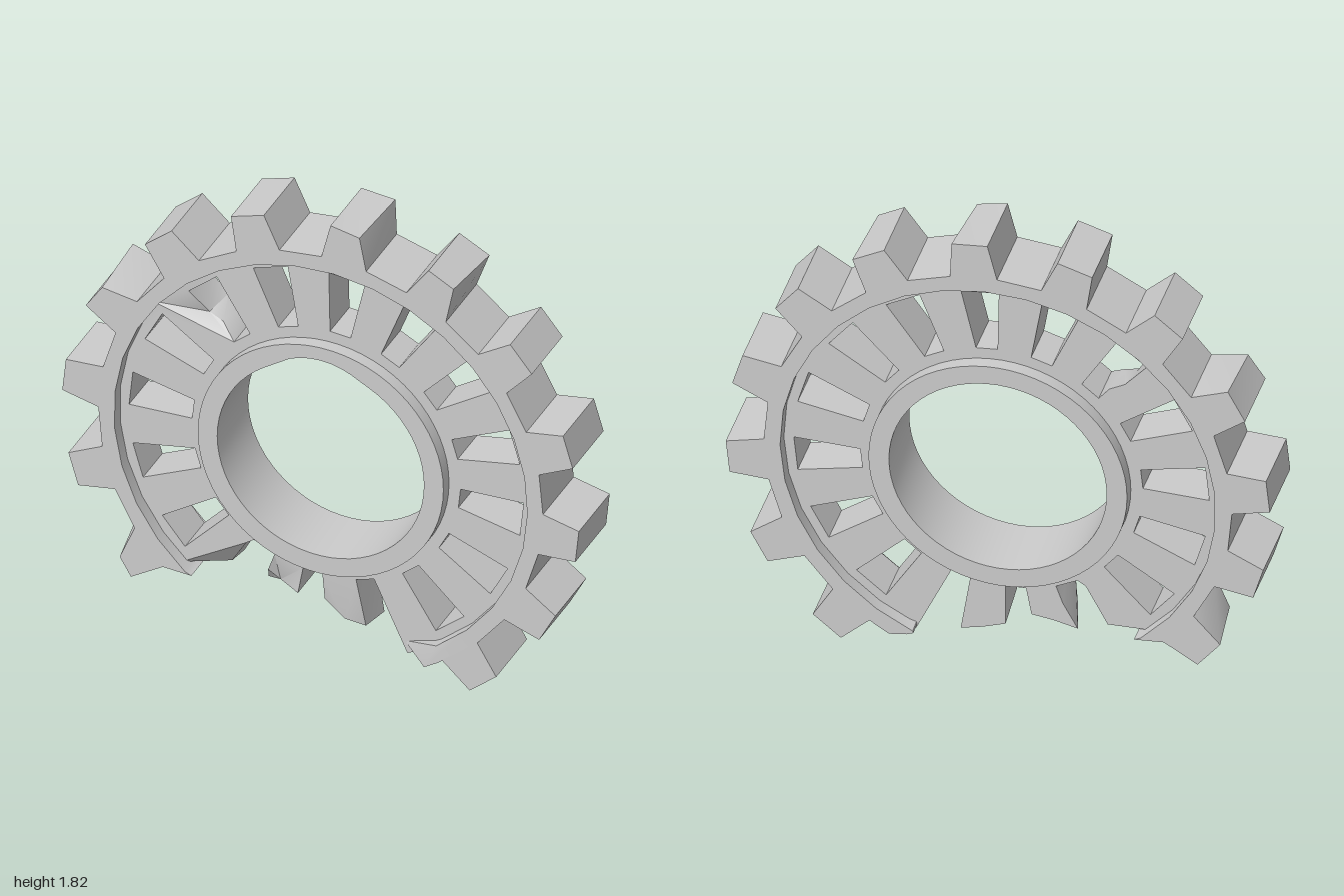
import * as THREE from 'three';
import { toCreasedNormals } from 'three/addons/utils/BufferGeometryUtils.js';

const CY = 0.815;            // height of the wheel axis
const DEPTH = 0.27;          // thickness of rim and hub
const WEB_DEPTH = 0.17;      // thickness of the recessed web
const STEP = 22.5;           // spacing of teeth and windows
const FIRST = -51;           // first surviving tooth, to the right of the break
const material = new THREE.MeshStandardMaterial({ color: 0xcccccc, side: THREE.DoubleSide });

// Point at radius r and angle a (degrees), shifted sideways by s
function polar(r, a, s = 0) {
  const t = THREE.MathUtils.degToRad(a);
  return new THREE.Vector2(r * Math.cos(t) - s * Math.sin(t), CY + r * Math.sin(t) + s * Math.cos(t));
}

function arc(r, from, to, n) {
  return Array.from({ length: n + 1 }, (_, i) => polar(r, from + (to - from) * i / n));
}

const points = (list) => list.map(([x, y]) => new THREE.Vector2(x, y));

// Extrude an outline centred on z = 0, wear its vertices by a rule, then smooth it
function plate(name, outline, holes, depth, wear) {
  const shape = new THREE.Shape(outline);
  shape.holes = holes.map((h) => new THREE.Path(h));
  const geo = new THREE.ExtrudeGeometry(shape, { depth, bevelEnabled: false, curveSegments: 1 });
  geo.translate(0, 0, -depth / 2);
  const pos = geo.attributes.position;
  const v = new THREE.Vector3();
  for (let i = 0; i < pos.count; i++) {
    wear(v.fromBufferAttribute(pos, i));
    pos.setXYZ(i, v.x, v.y, v.z);
  }
  geo.deleteAttribute('normal');
  const mesh = new THREE.Mesh(toCreasedNormals(geo, 0.5), material);
  mesh.name = name;
  return mesh;
}

// Move the front corners near given spots: [x, y, dx, dy, dz]
function chip(chips) {
  return (v) => {
    if (v.z < 0) return;
    const hit = chips.find(([x, y]) => Math.hypot(v.x - x, v.y - y) < 0.03);
    if (hit) v.add(new THREE.Vector3(hit[2], hit[3], hit[4]));
  };
}

// Toothed rim, broken open at the bottom
function toothedRim() {
  const outline = points([[0.31, 0.07], [0.335, 0.06], [0.4, 0.05], [0.45, 0.08]]);
  for (let i = 0; i < 13; i++) {
    const a = FIRST + i * STEP;
    outline.push(polar(0.86, a - 5.8), polar(1, a - 3.8), polar(1, a + 3.8), polar(0.86, a + 5.8));
  }
  outline.push(...points([[-0.5, 0.2]]), ...arc(0.8, 229, -67, 27));
  return plate('toothedRim', outline, [], DEPTH, chip([
    [0.17, 1.8, -0.02, -0.01, 0],
    [0.534, 1.66, -0.02, 0.01, 0],
    [-0.845, 1.349, 0, -0.025, 0],
    [-0.817, 0.239, 0.04, -0.03, 0],
    [0.335, 0.06, 0, 0.03, -0.05],
  ]));
}

// Recessed web with tapered windows; spoke stubs stick out at the break
function spokedWeb() {
  const outline = [
    ...arc(0.82, -67.5, 227, 36),
    ...points([
      [-0.39, 0.21], [-0.31, 0.36], [-0.28, 0.38], [-0.2, 0.34],
      [-0.225, 0.27], [-0.28, 0.17], [-0.19, 0.19], [-0.11, 0.2], [-0.09, 0.31],
      [-0.015, 0.305], [-0.015, 0.14], [0.07, 0.11], [0.15, 0.09], [0.115, 0.315], [0.185, 0.335],
    ]),
  ];
  const holes = [arc(0.44, 0, 351, 39)];
  for (let i = 0; i < 13; i++) {
    const a = FIRST + i * STEP;
    const win = [polar(0.518, a, -0.04), polar(0.76, a, -0.07), polar(0.76, a, 0.07)];
    if (i === 8) win.push(polar(0.64, a, 0.065), polar(0.58, a, 0.04)); // worn window edge
    win.push(polar(0.518, a, 0.04));
    holes.push(win);
  }
  return plate('spokedWeb', outline, holes, WEB_DEPTH, chip([
    [-0.28, 0.17, 0.03, 0.03, -0.06],
    [-0.19, 0.19, 0, 0.03, -0.03],
    [-0.015, 0.14, 0, 0.05, -0.02],
    [0.07, 0.11, 0, 0.03, 0],
    [0.15, 0.09, -0.01, 0.02, -0.03],
    [-0.39, 0.21, 0, 0.02, -0.06],
    [-0.455, 1.27, -0.02, -0.01, -0.05],
    [-0.39, 1.24, -0.02, 0, -0.04],
  ]));
}

// Hub ring with a gouge along the top front edge of the bore
function hubRing() {
  return plate('hubRing', arc(0.475, 0, 354.375, 63), [arc(0.4, 0, 354.375, 63)], DEPTH, (v) => {
    const r = Math.hypot(v.x, v.y - CY);
    const a = THREE.MathUtils.radToDeg(Math.atan2(v.y - CY, v.x));
    if (v.z < 0 || r > 0.41 || a < 66 || a > 121) return;
    const k = 1 + 0.055 * Math.sin(Math.PI * (a - 66) / 55);
    v.x *= k;
    v.y = CY + (v.y - CY) * k;
  });
}

export function createModel() {
  const group = new THREE.Group();
  group.name = 'brokenGear';
  group.add(toothedRim(), spokedWeb(), hubRing());
  return group;
}
